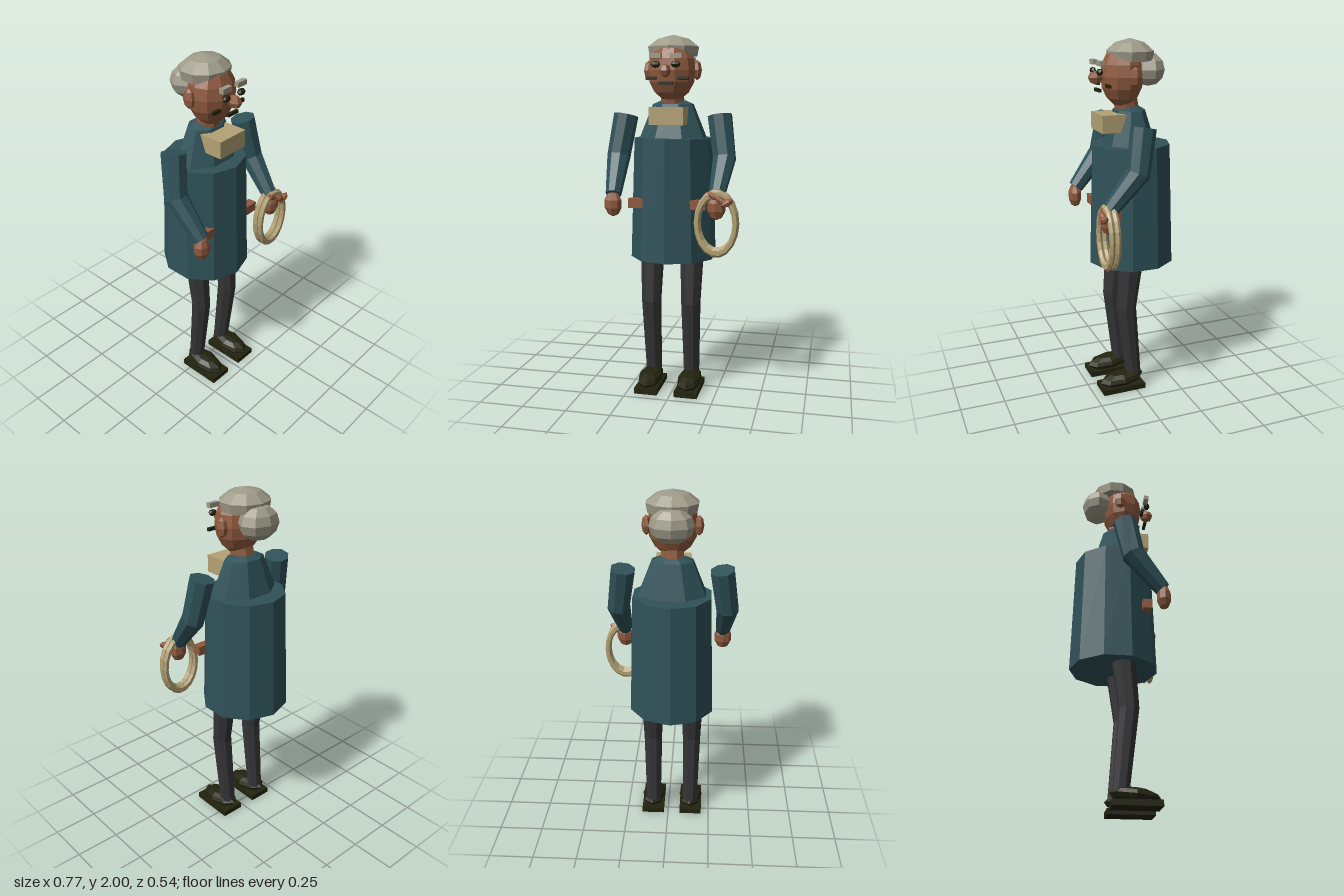
import * as THREE from 'three';

const mat = (name, color) => {
  const m = new THREE.MeshStandardMaterial({ color, flatShading: true });
  m.name = name;
  return m;
};

export function createModel() {
  const coatTeal = mat('coatTeal', 0x2f5259);
  const skinBrown = mat('skinBrown', 0x8f5a3e);
  const hairGrey = mat('hairGrey', 0x9f9b89);
  const trouserGrey = mat('trouserGrey', 0x343436);
  const shoeOlive = mat('shoeOlive', 0x22230d);
  const strawBeige = mat('strawBeige', 0xb5a275);

  const model = new THREE.Group();
  model.name = 'standingMan';
  const body = new THREE.Group();
  body.name = 'body';
  body.position.x = -0.023;
  model.add(body);

  const add = (name, geometry, material, x = 0, y = 0, z = 0) => {
    const mesh = new THREE.Mesh(geometry, material);
    mesh.name = name;
    mesh.position.set(x, y, z);
    body.add(mesh);
    return mesh;
  };
  const box = (name, m, w, h, d, x, y, z) => add(name, new THREE.BoxGeometry(w, h, d), m, x, y, z);
  const ball = (name, m, rx, ry, rz, x, y, z, seg = 8, rows = 6) =>
    add(name, new THREE.SphereGeometry(1, seg, rows).scale(rx, ry, rz), m, x, y, z);

  // Capped limb through [x, y, z, radius] points, with mitred joints
  const limb = (name, m, points, sides = 8) => {
    const p = points.map(a => new THREE.Vector3(a[0], a[1], a[2]));
    const pos = [], index = [], last = p.length - 1;
    p.forEach((c, i) => {
      const dir = new THREE.Vector3();
      if (i > 0) dir.add(c.clone().sub(p[i - 1]).normalize());
      if (i < last) dir.add(p[i + 1].clone().sub(c).normalize());
      dir.normalize();
      const u = new THREE.Vector3(1, 0, 0).addScaledVector(dir, -dir.x).normalize();
      const w = new THREE.Vector3().crossVectors(dir, u);
      for (let k = 0; k < sides; k++) {
        const t = ((k + 0.5) / sides) * Math.PI * 2;
        const v = c.clone().addScaledVector(u, Math.cos(t) * points[i][3]).addScaledVector(w, Math.sin(t) * points[i][3]);
        pos.push(v.x, v.y, v.z);
        if (i < last) {
          const a = i * sides + k, b = i * sides + (k + 1) % sides;
          index.push(a, b, b + sides, a, b + sides, a + sides);
        }
      }
    });
    for (let k = 1; k < sides - 1; k++) {
      const e = last * sides;
      index.push(0, k + 1, k, e, e + k, e + k + 1);
    }
    const g = new THREE.BufferGeometry();
    g.setAttribute('position', new THREE.Float32BufferAttribute(pos, 3));
    g.setIndex(index);
    g.computeVertexNormals();
    return add(name, g, m);
  };

  // Long coat and sloping shoulders
  add('coat', new THREE.CylinderGeometry(0.22, 0.243, 0.675, 10), coatTeal, 0, 1.1025, -0.03);
  const shoulders = new THREE.CylinderGeometry(0.118, 0.222, 0.25, 8).rotateY(Math.PI / 8).scale(1, 1, 0.7);
  add('shoulders', shoulders, coatTeal, 0, 1.5, -0.02);
  add('shoulderTop', new THREE.CylinderGeometry(0.07, 0.118, 0.02, 8).rotateY(Math.PI / 8).scale(1, 1, 0.7),
    coatTeal, 0, 1.635, -0.02);
  box('collarBlock', strawBeige, 0.19, 0.095, 0.14, 0, 1.563, 0.095);
  box('beltBar', skinBrown, 0.43, 0.052, 0.05, 0, 1.087, 0.134);

  // Neck and head
  limb('neck', skinBrown, [[0, 1.58, -0.015, 0.067], [0, 1.74, 0.01, 0.062]]);
  ball('head', skinBrown, 0.135, 0.165, 0.115, 0, 1.805, 0.02, 10, 8);
  ball('nose', skinBrown, 0.031, 0.036, 0.042, 0, 1.8, 0.17, 6, 4);
  box('mouth', shoeOlive, 0.074, 0.017, 0.016, 0, 1.735, 0.158);

  // Hair cap and bun
  const capProfile = [[0, 1.885], [0.13, 1.885], [0.139, 1.935], [0.085, 1.978], [0, 2]];
  const cap = new THREE.LatheGeometry(capProfile.map(a => new THREE.Vector2(a[0], a[1])), 10);
  cap.scale(1.02, 1, 0.93);
  add('hairCap', cap, hairGrey, 0, 0, -0.026);
  ball('hairBun', hairGrey, 0.118, 0.092, 0.09, 0, 1.837, -0.13, 8, 6);

  for (const s of [-1, 1]) {
    const side = s > 0 ? 'left' : 'right';
    // Face details
    ball(side + 'Ear', skinBrown, 0.026, 0.054, 0.037, s * 0.137, 1.808, -0.005, 6, 4);
    ball(side + 'Eye', shoeOlive, 0.026, 0.018, 0.018, s * 0.055, 1.833, 0.165, 8, 4);
    box(side + 'Brow', hairGrey, 0.064, 0.026, 0.026, s * 0.056, 1.878, 0.16);
    box(side + 'Moustache', shoeOlive, 0.058, 0.017, 0.015, s * 0.088, 1.762, 0.13);

    // Bent sleeves and hands
    limb(side + 'Sleeve', coatTeal, [
      [s * 0.266, 1.565, 0.004, 0.069],
      [s * 0.3, 1.335, 0.045, 0.065],
      [s * 0.284, 1.14, 0.205, 0.043]
    ]);
    ball(side + 'Hand', skinBrown, 0.051, 0.07, 0.04, s * 0.285, 1.09, 0.21, 8, 5);

    // Bent trouser legs
    limb(side + 'TrouserLeg', trouserGrey, [
      [s * 0.115, 0.82, 0.008, 0.069],
      [s * 0.115, 0.51, 0.04, 0.056],
      [s * 0.112, 0.07, -0.004, 0.045]
    ]);

    // Shoes with flat soles
    box(side + 'Sole', shoeOlive, 0.132, 0.032, 0.255, s * 0.115, 0.016, 0.073);
    const upper = ball(side + 'ShoeUpper', shoeOlive, 0.07, 0.042, 0.132, s * 0.115, 0.06, 0.068, 8, 6);
    upper.rotation.x = 0.1;
  }

  // Two coils of rope hung from the left hand
  for (const z of [0.19, 0.222]) {
    const coil = new THREE.TorusGeometry(0.104, 0.0165, 6, 18);
    add('ropeCoil', coil.scale(1, 1.53, 1), strawBeige, 0.286, 1.002, z);
  }
  // Fingers curled over the rope
  for (const [x, y, z, turn] of [[0.27, 1.15, 0.225, -0.5], [0.315, 1.13, 0.248, -0.6], [0.345, 1.118, 0.25, 0.5]]) {
    const finger = ball('finger', skinBrown, 0.04, 0.02, 0.022, x, y, z, 6, 4);
    finger.rotation.z = turn;
  }

  return model;
}
